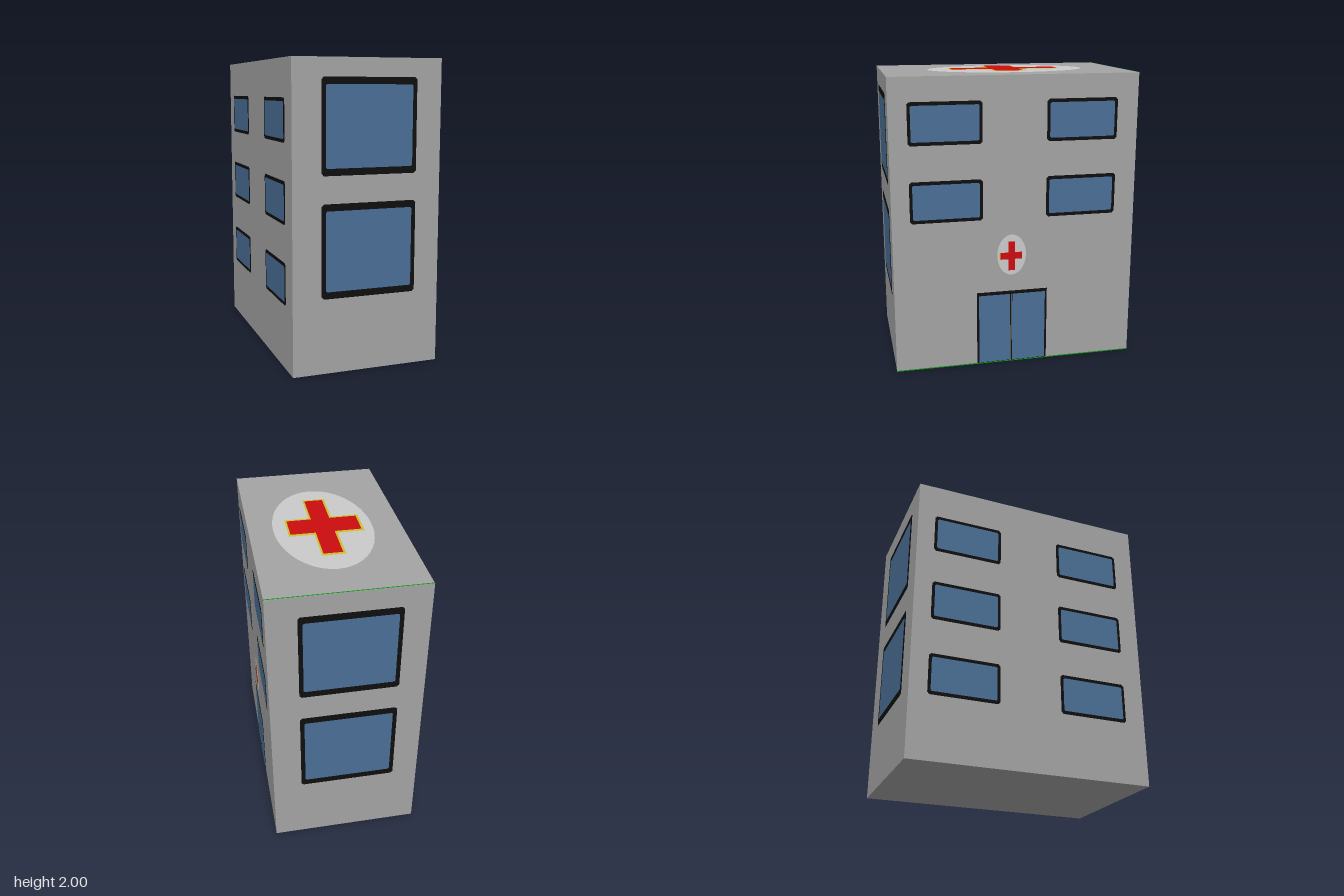
import * as THREE from 'three';

const mat = (name, color) => {
  const m = new THREE.MeshStandardMaterial({ color });
  m.name = name;
  return m;
};

export function createModel() {
  const wall = mat('wall grey', 0xa3a3a3);
  const frame = mat('frame black', 0x0e0e0e);
  const glass = mat('glass blue', 0x4a6f96);
  const pale = mat('emblem pale grey', 0xcacaca);
  const red = mat('cross red', 0xcb0c0f);
  const yellow = mat('cross border yellow', 0xcbc02e);
  const green = mat('edge green', 0x0a960f);

  const W = 1, H = 1.994, D = 1.666, STEP = 0.002;
  const model = new THREE.Group();
  model.name = 'hospitalBuilding';

  // Main block
  const body = new THREE.Mesh(new THREE.BoxGeometry(W, H, D), wall);
  body.name = 'walls';
  body.position.y = H / 2;
  model.add(body);

  // One group per face: local x runs right, y up, z outward
  const side = (name, pos, rx, ry) => {
    const g = new THREE.Group();
    g.name = name;
    g.position.set(...pos);
    g.rotation.set(rx, ry, 0);
    model.add(g);
    return g;
  };
  const front = side('frontFace', [0, 0, D / 2], 0, 0);
  const back = side('backFace', [0, 0, -D / 2], 0, Math.PI);
  const doorSide = side('doorFace', [W / 2, 0, 0], 0, Math.PI / 2);
  const windowSide = side('windowFace', [-W / 2, 0, 0], 0, -Math.PI / 2);
  const roof = side('roofFace', [0, H, 0], -Math.PI / 2, 0);

  // Flat painted shape, stacked outward by layer
  const paint = (parent, name, shape, material, layer) => {
    const m = new THREE.Mesh(new THREE.ShapeGeometry(shape, 24), material);
    m.name = name;
    m.position.z = layer * STEP;
    parent.add(m);
  };

  // Rectangle with softly clipped corners
  const rect = (x0, y0, x1, y1, c = 0) => new THREE.Shape((c
    ? [[x0 + c, y0], [x1 - c, y0], [x1, y0 + c], [x1, y1 - c], [x1 - c, y1], [x0 + c, y1], [x0, y1 - c], [x0, y0 + c]]
    : [[x0, y0], [x1, y0], [x1, y1], [x0, y1]]
  ).map(p => new THREE.Vector2(...p)));

  const ellipse = (cx, cy, rx, ry) => new THREE.Shape().absellipse(cx, cy, rx, ry, 0, Math.PI * 2);

  // Plus sign: upright bar a..b by c..d, crossbar e..f by g..h
  const cross = (a, b, c, d, e, f, g, h) => new THREE.Shape([
    [a, c], [b, c], [b, g], [f, g], [f, h], [b, h], [b, d], [a, d], [a, h], [e, h], [e, g], [a, g],
  ].map(p => new THREE.Vector2(...p)));

  const addWindow = (parent, x0, y0, x1, y1, tx, ty) => {
    paint(parent, 'windowFrame', rect(x0, y0, x1, y1, 0.015), frame, 1);
    paint(parent, 'windowGlass', rect(x0 + tx, y0 + ty, x1 - tx, y1 - ty, 0.008), glass, 2);
  };

  // Large windows on both ends
  for (const [face, drop] of [[front, 0], [back, 0.02]]) {
    for (const y of [1.27, 0.49]) addWindow(face, -0.31, y - drop, 0.33, y + 0.605 - drop, 0.028, 0.045);
  }

  // Small windows on both long sides
  for (const [face, rows] of [[doorSide, [1.555, 1.04]], [windowSide, [1.47, 0.95, 0.425]]]) {
    for (const y of rows) {
      for (const x of [-0.713, -0.207]) {
        const x0 = x < -0.5 ? x : 0.205;
        addWindow(face, x0, y, x0 + 0.485, y + 0.28, 0.02, 0.023);
      }
    }
  }

  // Double door
  paint(doorSide, 'doorFrame', rect(-0.275, 0, 0.22, 0.525), frame, 1);
  paint(doorSide, 'doorLeafLeft', rect(-0.26, 0.008, -0.043, 0.502), glass, 2);
  paint(doorSide, 'doorLeafRight', rect(-0.027, 0.008, 0.206, 0.502), glass, 2);
  paint(doorSide, 'doorGap', rect(-0.037, 0.008, -0.033, 0.5), wall, 2);

  // Emblem above the door
  paint(doorSide, 'signDisc', ellipse(-0.032, 0.785, 0.1, 0.143), pale, 1);
  paint(doorSide, 'signCrossBorder', cross(-0.056, -0.01, 0.675, 0.88, -0.117, 0.04, 0.755, 0.803), yellow, 2);
  paint(doorSide, 'signCross', cross(-0.056, -0.01, 0.675, 0.88, -0.112, 0.04, 0.755, 0.803), red, 3);

  // Roof emblem
  paint(roof, 'roofDisc', ellipse(0.015, 0.028, 0.325, 0.545), pale, 1);
  paint(roof, 'roofCrossBorder', cross(-0.066, 0.086, -0.373, 0.405, -0.245, 0.25, -0.1, 0.13), yellow, 2);
  paint(roof, 'roofCross', cross(-0.05, 0.074, -0.355, 0.385, -0.228, 0.238, -0.08, 0.108), red, 3);

  // Thin green edge lines
  paint(roof, 'roofEdgeLine', rect(-W / 2, D / 2 - 0.008, W / 2, D / 2), green, 1);
  paint(doorSide, 'groundEdgeLine', rect(-D / 2, 0, D / 2, 0.007), green, 3);

  return model;
}
